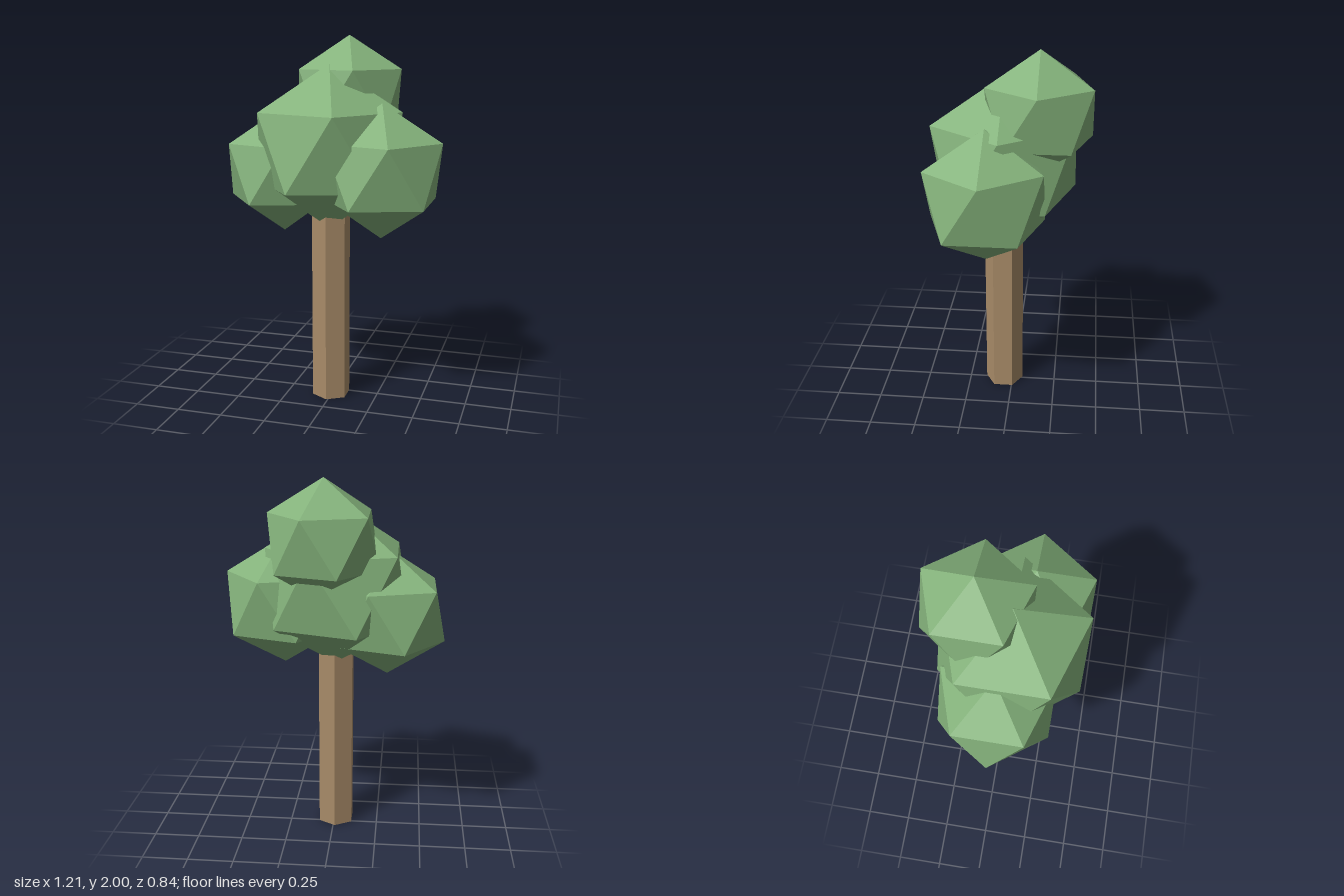
import * as THREE from 'three';

const leafGreen = new THREE.MeshStandardMaterial({ color: 0x84b27b, flatShading: true });
leafGreen.name = 'leafGreen';
const barkBrown = new THREE.MeshStandardMaterial({ color: 0xa88b68, flatShading: true });
barkBrown.name = 'barkBrown';

// Icosahedron standing on a corner, with one upper ring corner towards +x
function foliage(name, radius, x, y, z) {
  const geometry = new THREE.IcosahedronGeometry(radius, 0);
  geometry.rotateZ(-Math.atan(2 / (1 + Math.sqrt(5))));
  const mesh = new THREE.Mesh(geometry, leafGreen);
  mesh.name = name;
  mesh.position.set(x, y, z);
  return mesh;
}

export function createModel() {
  const tree = new THREE.Group();
  tree.name = 'tree';

  // Six-sided trunk, its top buried in the foliage
  const trunkHeight = 1.2;
  const trunk = new THREE.Mesh(
    new THREE.CylinderGeometry(0.107, 0.107, trunkHeight, 6), barkBrown);
  trunk.name = 'trunk';
  trunk.position.set(-0.01, trunkHeight / 2, 0.048);
  tree.add(trunk);

  // Four overlapping clumps of leaves
  tree.add(
    foliage('topFoliage', 0.325, 0.04, 1.675, -0.145),
    foliage('middleFoliage', 0.445, -0.02, 1.407, 0.042),
    foliage('leftFoliage', 0.357, 0.285, 1.3, 0.115),
    foliage('rightFoliage', 0.345, -0.295, 1.272, 0),
  );
  return tree;
}
